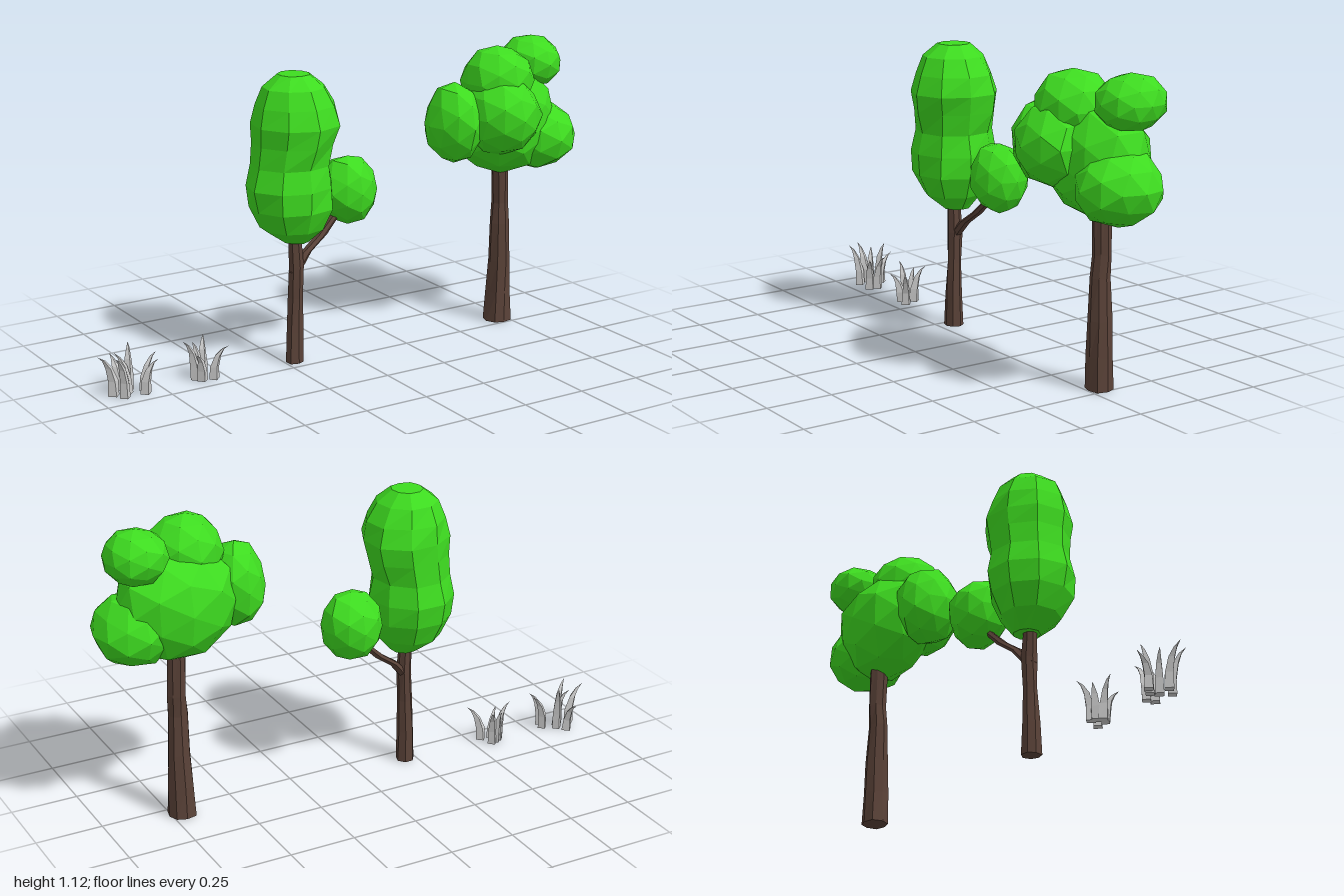
import * as THREE from 'three';

const leafMat = new THREE.MeshStandardMaterial({ color: 0x3edc20, flatShading: true });
const barkMat = new THREE.MeshStandardMaterial({ color: 0x5a4238, flatShading: true });
const grassMat = new THREE.MeshStandardMaterial({ color: 0xcccccc, flatShading: true });

// Repeatable noise in -1..1, equal for vertices that share a position
function noise(x, y, z, seed) {
  const r = (v) => Math.round(v * 100);
  const s = Math.sin(r(x) * 12.9898 + r(y) * 78.233 + r(z) * 37.719 + seed * 4.1) * 43758.5453;
  return (s - Math.floor(s)) * 2 - 1;
}

function moveVertices(geometry, rule) {
  const p = geometry.attributes.position;
  for (let i = 0; i < p.count; i++) p.setXYZ(i, ...rule(p.getX(i), p.getY(i), p.getZ(i)));
  geometry.computeVertexNormals();
  return geometry;
}

function add(group, name, geometry, material) {
  const mesh = new THREE.Mesh(geometry, material);
  mesh.name = name;
  group.add(mesh);
}

// Faceted lump of leaves with uneven corners: centre, radii, seed
function leafClump([cx, cy, cz], [rx, ry, rz], seed) {
  return moveVertices(new THREE.IcosahedronGeometry(1, 1), (x, y, z) => {
    const k = 1.02 + 0.05 * noise(x, y, z, seed);
    return [cx + rx * x * k, cy + ry * y * k, cz + rz * z * k];
  });
}

// Faceted limb through rings of [x, y, z, radius], listed from bottom to top
function limb(rings, sides, rough, seed) {
  const n = rings.length - 1;
  return moveVertices(new THREE.CylinderGeometry(1, 1, 1, sides, n), (x, y, z) => {
    const [cx, cy, cz, r] = rings[Math.round((y + 0.5) * n)];
    const k = r * (1 + rough * noise(x, y, z, seed));
    return [cx + x * k, cy, cz + z * k];
  });
}

// Blade that rises straight and then curls out to its tip
function grassBlade([bx, bz], [tx, ty, tz]) {
  const rings = [0, 0.3, 0.6, 0.82, 1].map((t) => {
    const out = t ** 2.6;
    return [bx + (tx - bx) * out, ty * (1 - (1 - t) ** 1.25), bz + (tz - bz) * out, 0.021 * (1 - t ** 1.9)];
  });
  return limb(rings, 4, 0.12, bx);
}

function makeTree(name, trunkParts, clumps) {
  const tree = new THREE.Group();
  tree.name = name;
  trunkParts.forEach(([part, rings, sides], i) => add(tree, part, limb(rings, sides, 0.1, i), barkMat));
  clumps.forEach(([part, centre, radii], i) => add(tree, part, leafClump(centre, radii, i + 1), leafMat));
  return tree;
}

function makeTuft(name, blades) {
  const tuft = new THREE.Group();
  tuft.name = name;
  blades.forEach(([base, tip]) => add(tuft, 'grassBlade', grassBlade(base, tip), grassMat));
  return tuft;
}

export function createModel() {
  const model = new THREE.Group();
  model.name = 'treesAndGrass';

  // Slim tree with a side branch
  const slimTree = makeTree('slimTree', [
    ['trunk', [[-0.21, 0, -0.06, 0.036], [-0.21, 0.12, -0.06, 0.032], [-0.205, 0.25, -0.06, 0.028],
      [-0.2, 0.37, -0.06, 0.028], [-0.21, 0.55, -0.06, 0.022]], 7],
    ['branch', [[-0.205, 0.35, -0.06, 0.024], [-0.15, 0.415, -0.07, 0.021], [-0.08, 0.465, -0.08, 0.02],
      [0.02, 0.56, -0.095, 0.016]], 6],
  ], [
    ['branchCrown', [0.043, 0.62, -0.095], [0.112, 0.128, 0.11]],
  ]);
  // Tall crown in one piece, with a slight waist
  add(slimTree, 'tallCrown', limb([
    [-0.195, 0.465, -0.065, 0.05], [-0.215, 0.52, -0.065, 0.115], [-0.22, 0.6, -0.065, 0.155],
    [-0.22, 0.68, -0.067, 0.16], [-0.217, 0.76, -0.065, 0.144], [-0.205, 0.84, -0.06, 0.155],
    [-0.197, 0.91, -0.055, 0.163], [-0.2, 0.98, -0.055, 0.148], [-0.205, 1.045, -0.055, 0.115],
    [-0.205, 1.09, -0.06, 0.06],
  ], 9, 0.05, 3), leafMat);
  model.add(slimTree);

  // Broad tree with a crown of many lobes
  model.add(makeTree('broadTree', [
    ['trunk', [[0.712, 0, -0.05, 0.052], [0.713, 0.12, -0.047, 0.046], [0.716, 0.25, -0.047, 0.041],
      [0.714, 0.4, -0.046, 0.038], [0.716, 0.48, -0.05, 0.034], [0.71, 0.7, -0.05, 0.034]], 8],
  ], [
    ['mainCrown', [0.7, 0.82, -0.03], [0.22, 0.205, 0.165]],
    ['rightCrown', [0.46, 0.835, -0.005], [0.108, 0.153, 0.13]],
    ['frontCrown', [0.62, 0.865, 0.075], [0.145, 0.15, 0.15]],
    ['topCrown', [0.635, 0.985, 0.02], [0.135, 0.132, 0.135]],
    ['smallTopCrown', [0.85, 1.025, -0.055], [0.115, 0.098, 0.122]],
    ['leftCrown', [0.85, 0.745, -0.01], [0.142, 0.132, 0.155]],
  ]));

  // Grass: base [x, z] and tip [x, y, z] of each blade
  model.add(makeTuft('largeGrassTuft', [
    [[-0.93, -0.1], [-0.99, 0.155, -0.1]],
    [[-0.89, -0.15], [-0.895, 0.12, -0.205]],
    [[-0.862, -0.12], [-0.85, 0.175, -0.145]],
    [[-0.815, -0.09], [-0.765, 0.14, -0.09]],
    [[-0.905, -0.06], [-0.95, 0.16, -0.035]],
    [[-0.825, -0.06], [-0.785, 0.13, -0.035]],
    [[-0.88, -0.095], [-0.915, 0.15, -0.12]],
  ]));
  model.add(makeTuft('smallGrassTuft', [
    [[-0.61, -0.09], [-0.655, 0.15, -0.095]],
    [[-0.57, -0.11], [-0.545, 0.145, -0.15]],
    [[-0.595, -0.065], [-0.63, 0.11, -0.035]],
    [[-0.55, -0.06], [-0.505, 0.13, -0.025]],
    [[-0.59, -0.105], [-0.6, 0.13, -0.13]],
  ]));

  return model;
}
